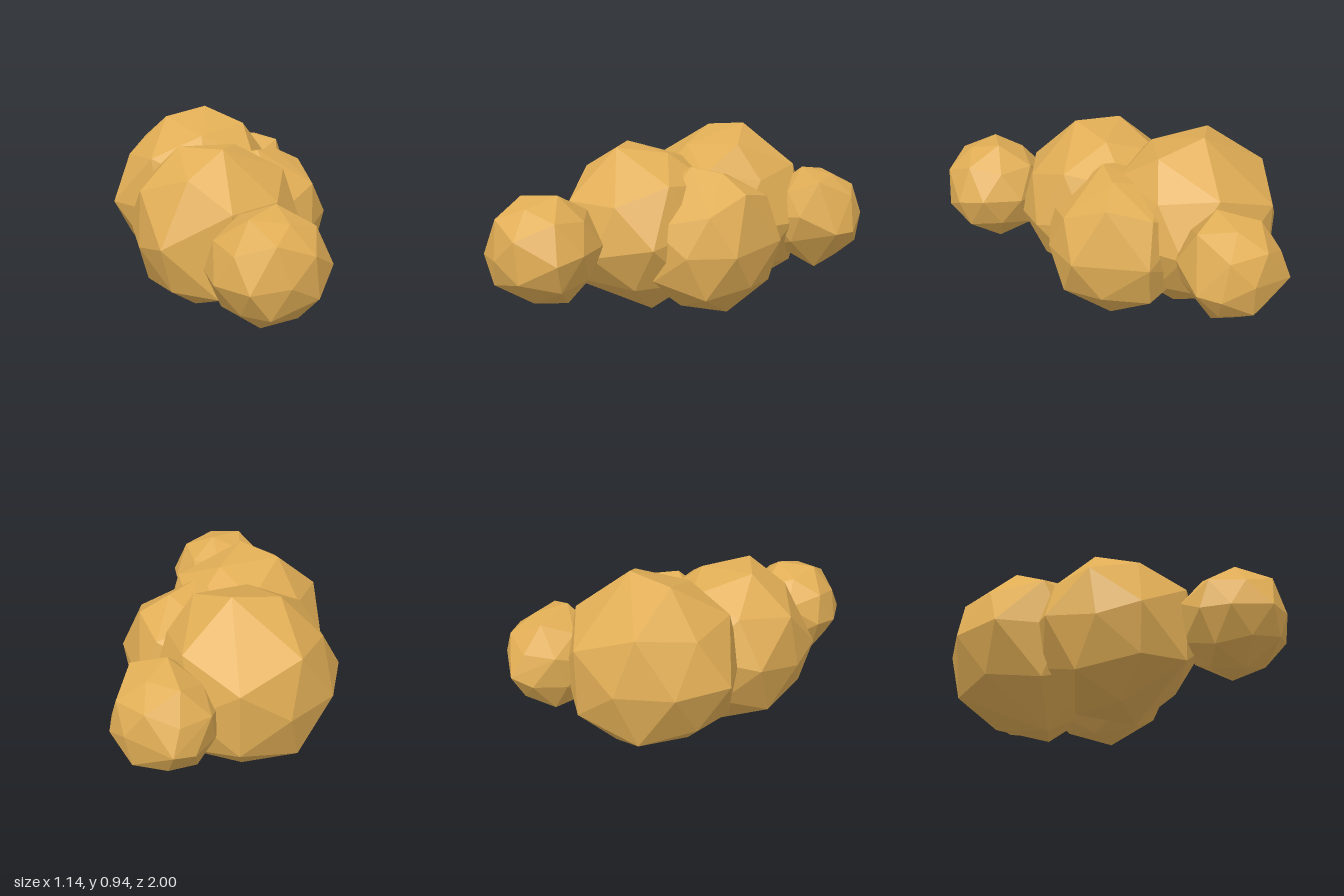
import * as THREE from 'three';
import { ConvexGeometry } from 'three/addons/geometries/ConvexGeometry.js';

// Each lump: centre, radius and a few main corners; the first two are neighbours and set its facing
const LUMPS = [
  {
    name: 'largeBackLump', centre: [-0.125, 0.47, -0.33], radius: 0.465,
    corners: [[-0.57, 0.47, -0.43], [-0.57, 0.47, -0.14], [-0.08, 0.94, -0.42], [0.13, 0.87, -0.3], [-0.165, 0, -0.16]],
  },
  {
    name: 'largeFrontLump', centre: [-0.02, 0.45, 0.17], radius: 0.445,
    corners: [[-0.38, 0.67, 0.31], [-0.2, 0.86, 0.19], [-0.27, 0.45, 0.54], [0.02, 0.875, 0.31], [0, 0.22, 0.59]],
  },
  {
    name: 'leftSideLump', centre: [0.19, 0.4, -0.11], radius: 0.385,
    corners: [[0.57, 0.425, -0.12], [0.38, 0.42, -0.44], [0.49, 0.61, -0.01], [0.43, 0.69, -0.22], [0.2, 0.79, -0.02]],
  },
  {
    name: 'smallFrontLump', centre: [0.22, 0.45, 0.725], radius: 0.28,
    corners: [[0.13, 0.43, 1], [0.24, 0.63, 0.95], [0.22, 0.3, 0.97], [-0.065, 0.43, 0.72], [0.51, 0.46, 0.72]],
  },
  {
    name: 'smallBackLump', centre: [0.16, 0.465, -0.74], radius: 0.262,
    corners: [[0.34, 0.69, -0.665], [0.165, 0.735, -0.655], [0.055, 0.45, -1], [0.425, 0.43, -0.73], [0.25, 0.2, -0.71]],
  },
];

// Corners of a geometry as vectors
function cornersOf(geo) {
  const pos = geo.attributes.position;
  return Array.from({ length: pos.count }, (_, i) => new THREE.Vector3().fromBufferAttribute(pos, i));
}

// Regular corners, and slightly sunken points over the middle of each five-sided face
const BALL = cornersOf(new THREE.DodecahedronGeometry(1));
const FACE_MIDDLES = cornersOf(new THREE.IcosahedronGeometry(0.94).rotateZ(Math.PI / 2));

// Rotation whose first axis is a and whose second lies towards b
function frame(a, b) {
  const x = a.clone().normalize();
  const z = x.clone().cross(b).normalize();
  return new THREE.Matrix4().makeBasis(x, z.clone().cross(x), z);
}

// Faceted lump: hull of its main corners and the turned ball points that are not close to one
function lumpGeometry({ centre, radius, corners }) {
  const middle = new THREE.Vector3(...centre);
  const arms = corners.map((c) => new THREE.Vector3(...c).sub(middle));
  const turn = frame(arms[0], arms[1]).multiply(frame(BALL[0], BALL[1]).transpose());
  const filler = [...BALL, ...FACE_MIDDLES]
    .map((p) => p.clone().applyMatrix4(turn).multiplyScalar(radius))
    .filter((p) => arms.every((arm) => arm.angleTo(p) > 0.42));
  return new ConvexGeometry([...arms, ...filler]).translate(...centre);
}

export function createModel() {
  const group = new THREE.Group();
  group.name = 'lumpCluster';
  const material = new THREE.MeshStandardMaterial({ color: 0xe0ad55, flatShading: true });
  for (const lump of LUMPS) {
    const mesh = new THREE.Mesh(lumpGeometry(lump), material);
    mesh.name = lump.name;
    group.add(mesh);
  }
  return group;
}
